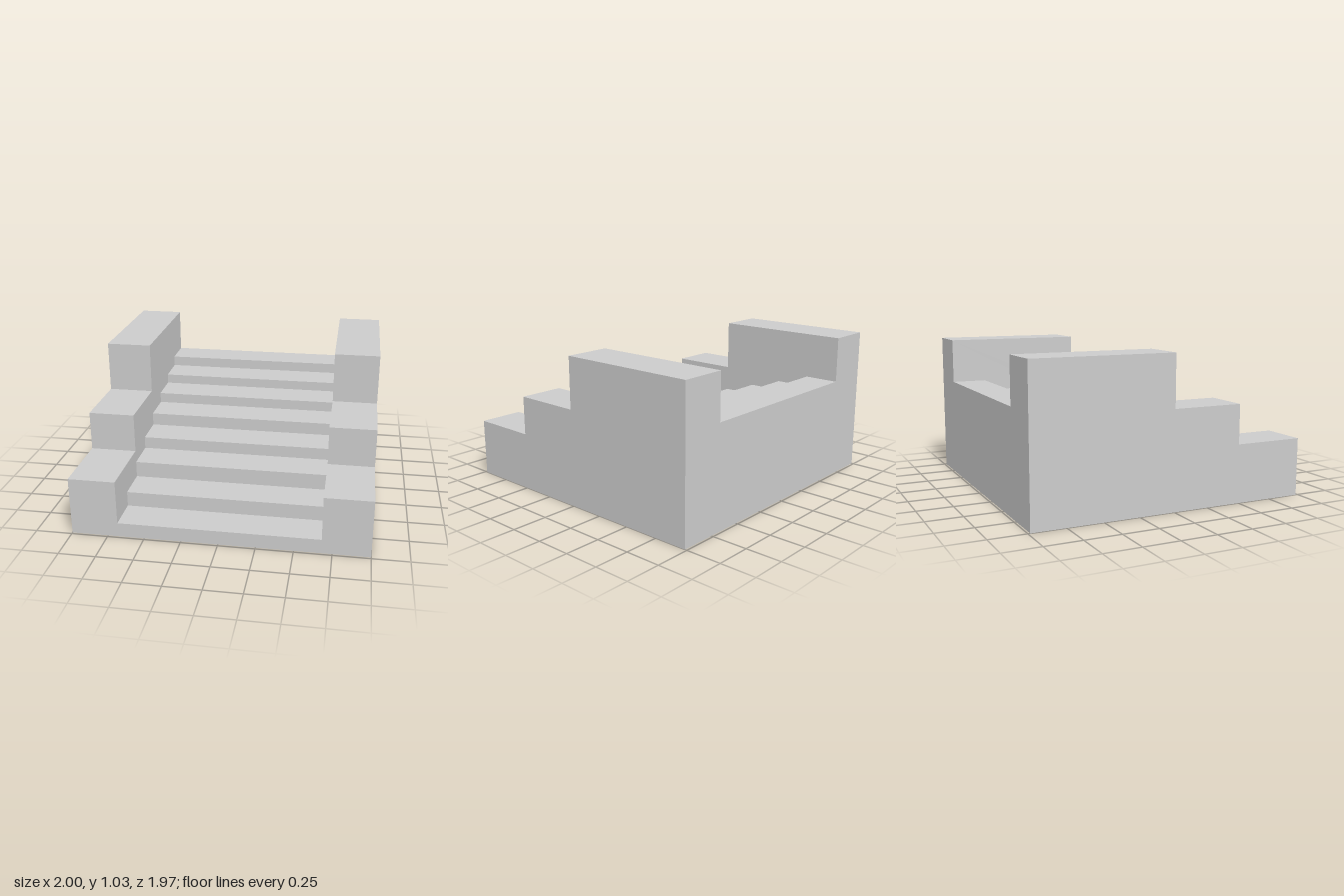
import * as THREE from 'three';

const HALF_DEPTH = 0.985;

// Extrudes a stepped side profile between x0 and x1; steps are [frontZ, topY] from front to back.
function steppedBlock(name, steps, x0, x1, material) {
  const shape = new THREE.Shape();
  shape.moveTo(-HALF_DEPTH, 0);
  steps.forEach(([z, y], i) => {
    if (i > 0) shape.lineTo(-z, steps[i - 1][1]);
    shape.lineTo(-z, y);
  });
  shape.lineTo(HALF_DEPTH, steps[steps.length - 1][1]);
  shape.lineTo(HALF_DEPTH, 0);
  shape.closePath();

  const geometry = new THREE.ExtrudeGeometry(shape, { depth: x1 - x0, bevelEnabled: false });
  geometry.rotateY(Math.PI / 2);
  geometry.translate(x0, 0, 0);
  const mesh = new THREE.Mesh(geometry, material);
  mesh.name = name;
  return mesh;
}

export function createModel() {
  const group = new THREE.Group();
  group.name = 'staircase';
  const material = new THREE.MeshStandardMaterial({ color: 0xcccccc, flatShading: true });
  const inner = 0.68;

  // Flight of eight equal treads with slightly uneven risers
  const heights = [0.1, 0.205, 0.318, 0.404, 0.495, 0.57, 0.64, 0.715];
  const tread = (2 * HALF_DEPTH) / heights.length;
  const flight = heights.map((y, i) => [HALF_DEPTH - i * tread, y]);
  group.add(steppedBlock('stairFlight', flight, -inner, inner, material));

  // Side walls rising in three large blocks
  const wall = [[HALF_DEPTH, 0.404], [0.493, 0.677], [0, 1.035]];
  group.add(steppedBlock('leftWall', wall, inner, 1, material));
  group.add(steppedBlock('rightWall', wall, -1, -inner, material));

  return group;
}
